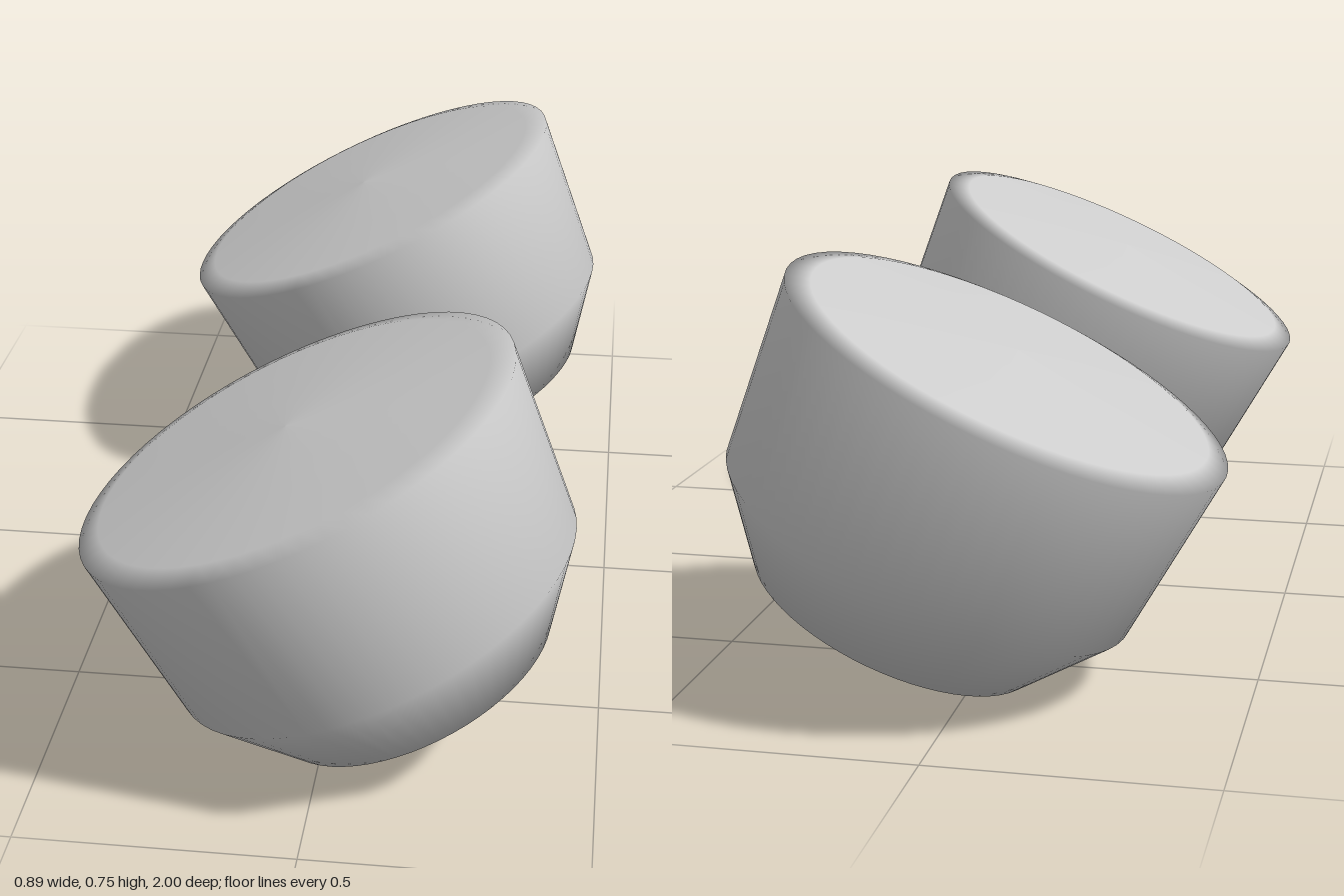
import * as THREE from 'three';

export function createModel() {
  const model = new THREE.Group();
  model.name = 'drumPair';
  const grey = new THREE.MeshStandardMaterial({ color: 0xcccccc });
  grey.name = 'light grey';

  // Drum shell profile: flat base, flared bowl, tapered wall, softened rim, shallow domed skin
  const profile = [
    [0, 0.045], [0.277, 0.045], [0.395, 0.21], [0.424, 0.55], [0.38, 0.562], [0, 0.585],
  ].map(([r, y]) => new THREE.Vector2(r, y));
  const drumGeometry = new THREE.LatheGeometry(profile, 64);

  // Round peg running between two points
  function peg(a, b, radius) {
    const direction = b.clone().sub(a);
    const mesh = new THREE.Mesh(
      new THREE.CylinderGeometry(radius, radius, direction.length(), 20), grey);
    mesh.position.copy(a).add(b).multiplyScalar(0.5);
    mesh.quaternion.setFromUnitVectors(new THREE.Vector3(0, 1, 0), direction.normalize());
    return mesh;
  }

  for (const side of [1, -1]) {
    const label = side > 0 ? 'front' : 'back';

    // Drum tipped about the z axis
    const drum = new THREE.Mesh(drumGeometry, grey);
    drum.name = label + 'Drum';
    drum.position.set(0.173, 0.081, side * 0.576);
    drum.rotation.z = THREE.MathUtils.degToRad(25);
    model.add(drum);

    // Supporting peg under the drum, pointing in towards the middle
    const support = peg(
      new THREE.Vector3(0.16, 0.115, side * 0.575),
      new THREE.Vector3(-0.105, 0.063, side * 0.28), 0.06);
    support.name = label + 'Peg';
    model.add(support);
  }
  return model;
}
